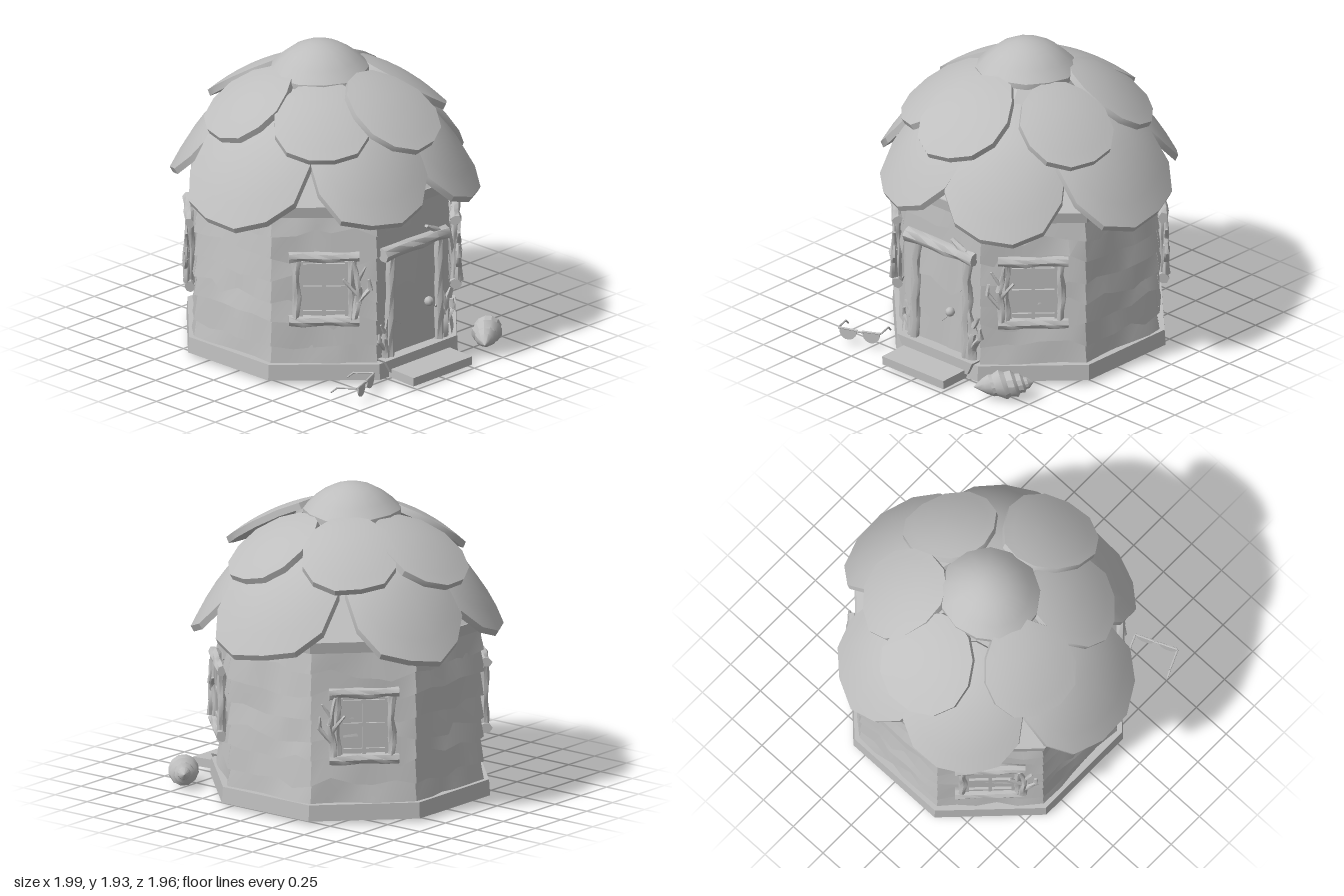
import * as THREE from 'three';
import { toCreasedNormals } from 'three/addons/utils/BufferGeometryUtils.js';

const CZ = -0.05; // centre of the octagonal house along z
const V = (x, y, z) => new THREE.Vector3(x, y, z);

export function createModel() {
  const model = new THREE.Group();
  const grey = new THREE.MeshStandardMaterial({ color: 0xbebebe });
  grey.name = 'light grey';

  let seed = 7;
  const rand = () => (seed = (seed * 16807) % 2147483647) / 2147483647;
  const jit = (a) => (rand() * 2 - 1) * a;

  const add = (parent, name, geo, crease = 0.6) => {
    const mesh = new THREE.Mesh(toCreasedNormals(geo, crease), grey);
    mesh.name = name;
    parent.add(mesh);
    return mesh;
  };
  const group = (parent, name) => {
    const g = new THREE.Group();
    g.name = name;
    parent.add(g);
    return g;
  };
  const indexed = (pos, idx) => {
    const g = new THREE.BufferGeometry();
    g.setAttribute('position', new THREE.Float32BufferAttribute(pos, 3));
    g.setIndex(idx);
    return g;
  };

  // Octagonal prism measured by the distance from centre to its flat sides
  const octagon = (name, bottom, top, y0, y1) => {
    const k = 1 / Math.cos(Math.PI / 8);
    const geo = new THREE.CylinderGeometry(top * k, bottom * k, y1 - y0, 8, 1, false, Math.PI / 8);
    add(model, name, geo, 0.3).position.set(0, (y0 + y1) / 2, CZ);
  };

  // Gnarled, tapered log between two points
  const log = (parent, name, a, b, r0, r1 = r0, rough = 0.22) => {
    const geo = new THREE.CylinderGeometry(r1, r0, a.distanceTo(b), 7, 5);
    const p = geo.attributes.position, ph = rand() * 6;
    for (let i = 0; i < p.count; i++) {
      const ang = Math.atan2(p.getZ(i), p.getX(i)), h = p.getY(i) * 24 + ph;
      const s = 1 + rough * Math.sin(h + 2 * ang);
      p.setX(i, p.getX(i) * s + rough * r0 * Math.sin(h * 0.9));
      p.setZ(i, p.getZ(i) * s);
    }
    const mesh = add(parent, name, geo, 0.8);
    mesh.position.copy(a).add(b).multiplyScalar(0.5);
    mesh.quaternion.setFromUnitVectors(V(0, 1, 0), b.clone().sub(a).normalize());
  };

  // Branching twig: a stem with side shoots, in the plane of a wall
  const twig = (parent, x, y, z, h, side, r) => {
    const at = (u, v) => V(x + u * h * side, y + v * h, z);
    log(parent, 'twigStem', at(0, 0), at(0.06, 0.55), r, r * 0.8);
    log(parent, 'twigTop', at(0.06, 0.53), at(-0.04, 1), r * 0.8, r * 0.4);
    log(parent, 'twigShoot', at(0.03, 0.25), at(0.24, 0.5), r * 0.7, r * 0.5);
    log(parent, 'twigShoot', at(0.24, 0.48), at(0.22, 0.68), r * 0.6, r * 0.35);
    log(parent, 'twigShoot', at(0.04, 0.42), at(-0.2, 0.68), r * 0.7, r * 0.35);
    log(parent, 'twigShoot', at(0.04, 0.68), at(0.18, 0.9), r * 0.6, r * 0.3);
  };

  // Overlapping warped boards with ragged lower edges that flare outwards
  const boards = (parent, name, rows, top, d0, d1, half, amp, cols, warp) => {
    rows.forEach((y, r) => {
      const pos = [], idx = [];
      const upper = r < rows.length - 1 ? rows[r + 1] + amp + 0.01 : top;
      for (let i = 0; i <= cols; i++) {
        const edge = i === 0 || i === cols;
        const u = (i / cols) * 2 - 1 + (edge ? 0 : jit(0.5 / cols));
        const d = d1 + (edge ? 0 : jit(warp));
        const yy = r === 0 ? y : y + (edge ? 0 : jit(amp));
        pos.push(u * half(d0), upper, d0, u * half(d), yy, d, u * half(d0), yy, d0 - 0.01);
        if (i < cols) {
          const t = i * 3, n = t + 3;
          idx.push(t + 1, n + 1, n, t + 1, n, t, t + 2, n + 2, n + 1, t + 2, n + 1, t + 1);
        }
      }
      add(parent, name, indexed(pos, idx), 0.5);
    });
  };

  octagon('foundation', 0.822, 0.815, 0.01, 0.11);
  octagon('wallCore', 0.75, 0.75, 0.1, 1.08);
  octagon('eaveBand', 0.79, 0.8, 1.06, 1.13);
  octagon('innerRoof', 0.79, 0.13, 1.13, 1.73);

  // Eight clad walls, each built facing +z and turned into place
  const rows = [0.11, 0.22, 0.38, 0.5, 0.64, 0.79, 0.93];
  const slope = (d) => d * Math.tan(Math.PI / 8);
  for (let k = 0; k < 8; k++) {
    const wall = group(model, 'wall');
    wall.position.z = CZ;
    wall.rotation.y = (k * Math.PI) / 4;
    boards(wall, 'wallBoards', rows, 1.07, 0.757, k ? 0.785 : 0.768, slope,
      k % 2 || k === 0 ? 0.06 : 0.032, 5, k ? 0.018 : 0.006);
    if (k % 2) addWindow(wall, k < 4 ? -1 : 1);
  }

  // Log-framed window with four panes and a twig on one side
  function addWindow(wall, side) {
    const w = group(wall, 'window');
    add(w, 'windowPane', new THREE.BoxGeometry(0.32, 0.38, 0.03)).position.set(0, 0.6, 0.782);
    for (const x of [-0.14, 0, 0.14])
      add(w, 'mullion', new THREE.BoxGeometry(0.022, 0.36, 0.02)).position.set(x, 0.6, 0.803);
    for (const y of [0.45, 0.61, 0.755])
      add(w, 'crossBar', new THREE.BoxGeometry(0.3, 0.022, 0.02)).position.set(0, y, 0.803);
    for (const s of [-1, 1])
      log(w, 'windowPost', V(s * 0.168, 0.4, 0.805), V(s * 0.168, 0.8, 0.805), 0.026);
    log(w, 'windowSill', V(-0.215, 0.395, 0.81), V(0.215, 0.395, 0.81), 0.036, 0.034, 0.13);
    log(w, 'windowLintel', V(-0.215, 0.81, 0.81), V(0.215, 0.81, 0.81), 0.034, 0.03, 0.18);
    twig(w, side * 0.19, 0.42, 0.83, 0.37, side, 0.024);
  }

  // Door with log frame, knob and twigs
  const door = group(model, 'door');
  door.position.z = CZ;
  boards(door, 'doorBoards', [0.14, 0.34, 0.56], 0.77, 0.774, 0.79, () => 0.175, 0.06, 4, 0.008);
  log(door, 'doorPost', V(-0.22, 0.11, 0.78), V(-0.2, 0.78, 0.78), 0.034, 0.03);
  log(door, 'doorPost', V(0.21, 0.11, 0.78), V(0.22, 0.78, 0.78), 0.034, 0.03);
  log(door, 'doorLintel', V(-0.28, 0.8, 0.785), V(0.28, 0.8, 0.785), 0.045, 0.04, 0.13);
  log(door, 'lintelTwig', V(0.2, 0.82, 0.79), V(0.1, 0.89, 0.79), 0.02, 0.012);
  add(door, 'doorKnob', new THREE.SphereGeometry(0.03, 10, 8), 1).position.set(0.1, 0.4, 0.81);
  twig(door, -0.25, 0.11, 0.785, 0.26, -1, 0.022);
  twig(door, 0.25, 0.11, 0.785, 0.35, 1, 0.032);

  // Doorstep and threshold
  const step = add(model, 'doorstep', new THREE.BoxGeometry(0.51, 0.055, 0.3));
  step.position.set(-0.005, 0.035, 0.83);
  step.rotation.x = 0.04;
  const sill = new THREE.Shape([[-0.26, 0.04], [0.27, 0.04], [0.31, 0.125], [-0.31, 0.125]]
    .map(([x, y]) => new THREE.Vector2(x, y)));
  add(model, 'threshold', new THREE.ExtrudeGeometry(sill, { depth: 0.12, bevelEnabled: false }))
    .position.z = 0.67;

  // Thick rounded roof scale draped over a dome profile
  const scale = (name, [x, z], o) => {
    const R = o.flat ? 1 : Math.hypot(x, z + 0.05), S = 13, N = 5;
    const top = [], under = [], idx = [], out = [];
    for (let s = 0; s < S; s++) out.push(1 + jit(0.025));
    for (let n = 0; n <= N; n++)
      for (let s = 0; s < S; s++) {
        const th = ((s + 0.5) / S) * Math.PI * 2, q = (n / N) * out[s];
        const a = o.w * q * Math.sin(th) * (1 + 0.16 * o.taper * Math.cos(th));
        const t = (o.c + o.l * q * Math.cos(th)) * R;
        const y = o.y - o.drop * Math.pow(Math.hypot(t, o.k * a) / R / o.reach, o.p) + o.lift;
        top.push(a, y, t);
        under.push(a, y - 0.035, t - 0.02 * o.taper);
      }
    const M = (N + 1) * S;
    for (let s = 0; s < S; s++) {
      const e = (s + 1) % S, r = N * S;
      for (let n = 0; n < N; n++) {
        const a = n * S + s, b = n * S + e, c = a + S, d = b + S;
        if (n > 0) idx.push(a, d, b, M + a, M + b, M + d);
        idx.push(a, c, d, M + a, M + d, M + c);
      }
      idx.push(M + r + s, M + r + e, r + e, M + r + s, r + e, r + s);
    }
    const m = add(roof, name, indexed([...top, ...under], idx), 0.55);
    m.rotation.y = o.flat ? 0 : Math.atan2(x, z + 0.05);
    m.position.set(o.flat ? x : 0, 0, o.flat ? z : -0.05);
  };
  const roof = group(model, 'roof');
  const lowerTips = [[-0.34, 0.84], [0.5, 0.78], [1, -0.05], [0.36, -0.94], [-0.48, -0.86], [-1, 0.04]];
  const upperTips = [[0.035, 0.81], [0.74, 0.25], [0.6, -0.52], [-0.03, -0.86], [-0.74, -0.27], [-0.57, 0.5]];
  lowerTips.forEach((tip, i) => scale('lowerRoofScale', tip,
    { c: 0.66, l: 0.34, w: i % 3 === 2 ? 0.41 : 0.365, y: 1.67, drop: 0.65, reach: 1, p: 3, k: 1.08, taper: 1,
      lift: i % 2 ? -0.01 : 0.012 }));
  upperTips.forEach((tip, i) => scale('upperRoofScale', tip,
    { c: 0.66, l: 0.34, w: 0.29, y: 1.79, drop: 0.36, reach: 1, p: 2.3, k: 0.95, taper: 1, lift: i % 2 ? -0.01 : 0.012 }));
  scale('topRoofScale', [-0.02, -0.05],
    { flat: true, c: 0, l: 0.305, w: 0.31, y: 1.915, drop: 0.17, reach: 0.31, p: 2.1, k: 1, taper: 0, lift: 0 });

  // Spiral seashell lying beside the step
  const whorls = [[0, 0], [0.03, 0.022], [0.07, 0.05], [0.11, 0.07], [0.13, 0.068], [0.18, 0.095], [0.21, 0.078],
    [0.25, 0.085], [0.27, 0.062], [0.3, 0.06], [0.315, 0.04], [0.335, 0.035], [0.37, 0]];
  const shellGeo = new THREE.LatheGeometry(whorls.map(([y, r]) => new THREE.Vector2(r, y)), 12);
  const p = shellGeo.attributes.position;
  for (let i = 0; i < p.count; i++) // lean the ridges so that they read as a spiral
    p.setY(i, p.getY(i) + p.getX(i) * 0.25);
  const shell = add(model, 'seashell', shellGeo, 0.5);
  shell.position.set(0.435, 0.055, 0.91);
  shell.quaternion.setFromUnitVectors(V(0, 1, 0), V(0.27, 0.04, -0.23).normalize());

  // Sunglasses resting by the foundation
  const glasses = group(model, 'sunglasses');
  glasses.position.set(-0.56, 0, 0.86);
  glasses.rotation.y = 0.4;
  const lens = new THREE.Shape();
  lens.moveTo(-0.055, 0.09);
  lens.bezierCurveTo(-0.065, -0.005, 0.065, -0.005, 0.055, 0.09);
  for (const s of [-1, 1]) {
    const geo = new THREE.ExtrudeGeometry(lens, { depth: 0.009, bevelEnabled: false, curveSegments: 10 });
    add(glasses, 'lens', geo).position.x = s * 0.075;
    log(glasses, 'browBar', V(s * 0.015, 0.086, 0.004), V(s * 0.138, 0.09, 0.004), 0.007, 0.007, 0);
    log(glasses, 'templeArm', V(s * 0.138, 0.09, 0), V(s * 0.138, 0.075, -0.13), 0.006, 0.006, 0);
    log(glasses, 'templeTip', V(s * 0.138, 0.075, -0.13), V(s * 0.138, 0.04, -0.17), 0.006, 0.005, 0);
  }
  log(glasses, 'noseBridge', V(-0.03, 0.08, 0.004), V(0.03, 0.08, 0.004), 0.006, 0.006, 0);

  return model;
}
